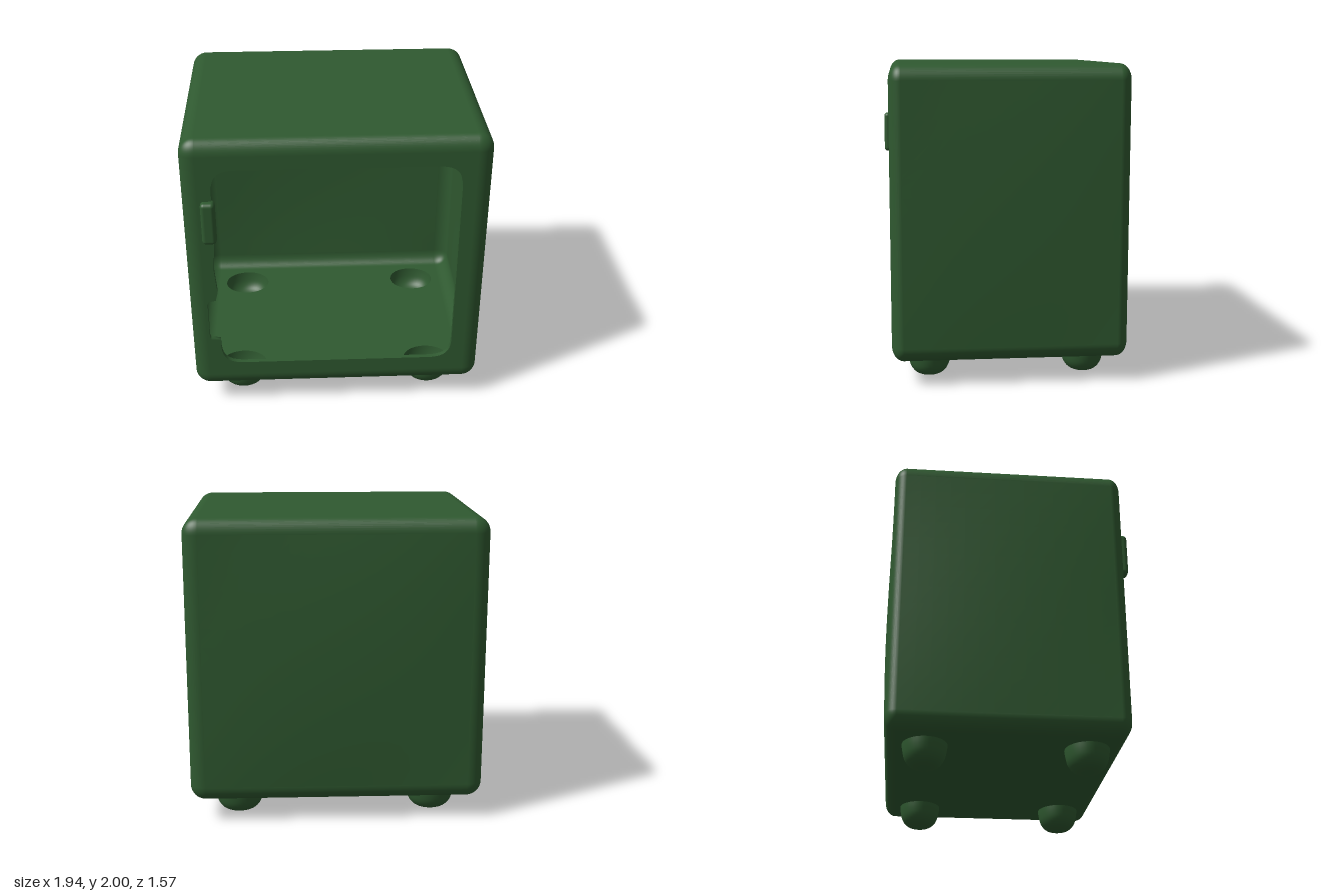
import * as THREE from 'three';
import { RoundedBoxGeometry } from 'three/addons/geometries/RoundedBoxGeometry.js';

// Thin hollow cabinet: half width, vertical and depth limits, corner radius
const HW = 0.955, Y0 = 0.15, Y1 = 2, ZB = -0.75, ZF = 0.74, R = 0.1, ZS = 0.75;
const CY = (Y0 + Y1) / 2, CZ = (ZB + ZF) / 2;
const FX = HW - R, FY = (Y1 - Y0) / 2 - R, FZ = (ZF - ZB) / 2 - R * ZS; // flat half extents

// Rounded edges and corners only: the flat centre of each face is left out
function edgeGeometry() {
  const src = new RoundedBoxGeometry(2 * HW, Y1 - Y0, (ZF - ZB) / ZS, 6, R);
  const p = src.attributes.position, n = src.attributes.normal;
  const pos = [], nor = [];
  const normalAt = (i) => new THREE.Vector3().fromBufferAttribute(n, i);
  for (let i = 0; i < p.count; i += 3) {
    const a = normalAt(i);
    if (a.distanceTo(normalAt(i + 1)) < 1e-4 && a.distanceTo(normalAt(i + 2)) < 1e-4) continue;
    for (let k = i; k < i + 3; k++) {
      pos.push(p.getX(k), p.getY(k), p.getZ(k));
      nor.push(n.getX(k), n.getY(k), n.getZ(k));
    }
  }
  const geo = new THREE.BufferGeometry();
  geo.setAttribute('position', new THREE.Float32BufferAttribute(pos, 3));
  geo.setAttribute('normal', new THREE.Float32BufferAttribute(nor, 3));
  return geo.scale(1, 1, ZS).translate(0, CY, CZ);
}

// Gently bulging panel facing +z
function panelGeometry(hw, hh, bulge) {
  const geo = new THREE.PlaneGeometry(2 * hw, 2 * hh, 14, 14);
  const p = geo.attributes.position;
  for (let i = 0; i < p.count; i++) {
    const u = p.getX(i) / hw, v = p.getY(i) / hh;
    p.setZ(i, bulge * (1 - u * u) * (1 - v * v));
  }
  geo.computeVertexNormals();
  return geo;
}

function rectShape(x0, y0, x1, y1) {
  const s = new THREE.Shape();
  s.moveTo(x0, y0).lineTo(x1, y0).lineTo(x1, y1).lineTo(x0, y1).closePath();
  return s;
}

// Doorway outline with the lower hinge recess cut into its left edge
function doorwayPath() {
  const w = 0.77, b = 0.35, t = 1.81, r = 0.16, h = new THREE.Path();
  h.moveTo(-w + r, b).lineTo(w - r, b);
  h.bezierCurveTo(w - 0.04, b, w, b + 0.04, w, b + r);
  h.lineTo(w, t - r);
  h.bezierCurveTo(w, t - 0.04, w - 0.04, t, w - r, t);
  h.lineTo(-w + r, t);
  h.bezierCurveTo(-w + 0.04, t, -w, t - 0.04, -w, t - r);
  h.lineTo(-w, 1.3).lineTo(-0.785, 1.1).lineTo(-w, 0.92).lineTo(-0.785, 0.86);
  h.lineTo(-0.83, 0.85).lineTo(-0.84, 0.83).lineTo(-0.84, 0.57).lineTo(-0.83, 0.55);
  h.lineTo(-w, 0.545).lineTo(-w, b + r);
  h.bezierCurveTo(-w, b + 0.04, -w + 0.04, b, -w + r, b);
  return h;
}

// Narrow return running back from the doorway edge
function lipGeometry(path) {
  const pts = path.getPoints(10), pos = [], idx = [];
  pts.forEach((q, i) => {
    pos.push(q.x, q.y, ZF, q.x, q.y, ZF - 0.03);
    if (i) idx.push(2 * i - 2, 2 * i, 2 * i - 1, 2 * i - 1, 2 * i, 2 * i + 1);
  });
  const geo = new THREE.BufferGeometry();
  geo.setAttribute('position', new THREE.Float32BufferAttribute(pos, 3));
  geo.setIndex(idx);
  geo.computeVertexNormals();
  return geo;
}

export function createModel() {
  const group = new THREE.Group();
  const green = new THREE.MeshStandardMaterial({ color: 0x2f5930, side: THREE.DoubleSide });
  green.name = 'dark green';
  const add = (name, geo) => {
    const mesh = new THREE.Mesh(geo, green);
    mesh.name = name;
    group.add(mesh);
    return mesh;
  };

  add('roundedEdges', edgeGeometry());

  // Back, sides and top
  add('backPanel', panelGeometry(FX, FY, 0.03).rotateY(Math.PI).translate(0, CY, ZB));
  for (const s of [-1, 1]) {
    add(s > 0 ? 'leftPanel' : 'rightPanel',
      panelGeometry(FZ, FY, 0.015).rotateY(s * Math.PI / 2).translate(s * HW, CY, CZ));
  }
  add('topPanel', panelGeometry(FX, FZ, 0).rotateX(-Math.PI / 2).translate(0, Y1, CZ));

  // Front frame around the doorway
  const frame = rectShape(-FX, CY - FY, FX, CY + FY);
  const doorway = doorwayPath();
  frame.holes.push(doorway);
  add('frontFrame', new THREE.ShapeGeometry(frame, 10).translate(0, 0, ZF));
  add('doorwayLip', lipGeometry(doorway));

  // Floor, open above each hollow foot (shape y becomes z)
  const floor = rectShape(-FX, CZ - FZ, FX, CZ + FZ);
  const feet = [[-0.64, 0.5], [0.645, 0.5], [-0.64, -0.5], [0.645, -0.5]];
  for (const [x, z] of feet) {
    const hole = new THREE.Path();
    hole.absellipse(x, z, 0.162, 0.14, 0, Math.PI * 2, true);
    floor.holes.push(hole);
  }
  add('floor', new THREE.ShapeGeometry(floor, 18).rotateX(Math.PI / 2).translate(0, Y0, 0));

  // Hollow bun feet
  const profile = new THREE.SplineCurve([
    [0.001, 0], [0.07, 0.007], [0.115, 0.028], [0.143, 0.065], [0.156, 0.11], [0.162, 0.15],
  ].map(([x, y]) => new THREE.Vector2(x, y))).getPoints(16);
  for (const [x, z] of feet) {
    const foot = add('foot', new THREE.LatheGeometry(profile, 36));
    foot.scale.z = 0.14 / 0.162;
    foot.position.set(x, 0, z);
  }

  // Upper hinge knuckle
  add('upperHinge', new RoundedBoxGeometry(0.09, 0.29, 0.08, 4, 0.025).translate(-0.795, 1.455, 0.745));

  return group;
}
